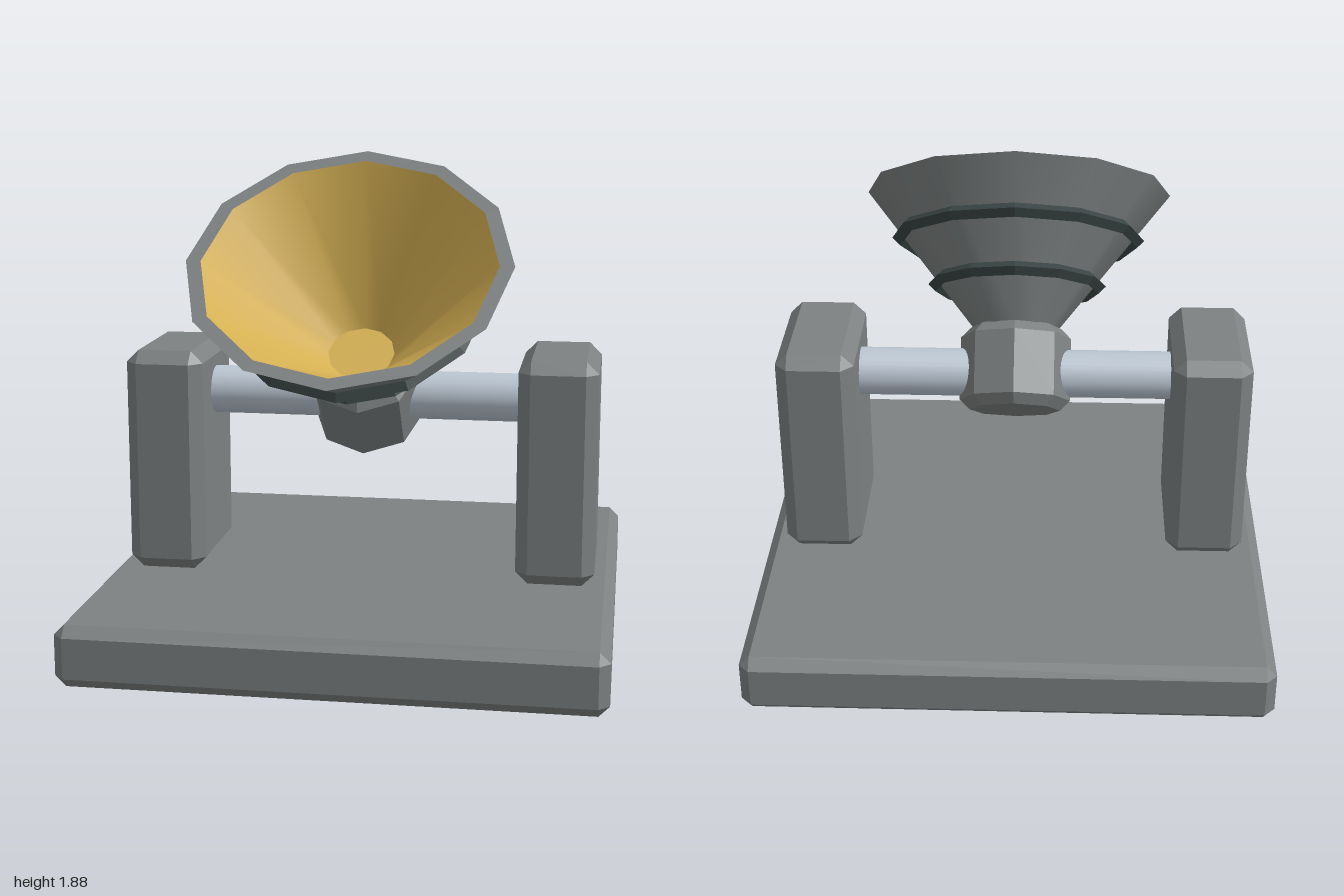
import * as THREE from 'three';
import { ConvexGeometry } from 'three/addons/geometries/ConvexGeometry.js';

const PIVOT_Y = 0.925;
const TILT = THREE.MathUtils.degToRad(38.4);

// Box with every edge cut by a flat chamfer
function chamferBox(w, h, d, c) {
  const points = [];
  for (const sx of [-1, 1]) for (const sy of [-1, 1]) for (const sz of [-1, 1]) {
    const x = w / 2, y = h / 2, z = d / 2;
    points.push(
      new THREE.Vector3(sx * x, sy * (y - c), sz * (z - c)),
      new THREE.Vector3(sx * (x - c), sy * y, sz * (z - c)),
      new THREE.Vector3(sx * (x - c), sy * (y - c), sz * z));
  }
  return new ConvexGeometry(points);
}

function lathe(profile, sides) {
  return new THREE.LatheGeometry(profile.map(([r, y]) => new THREE.Vector2(r, y)), sides);
}

export function createModel() {
  const material = (name, color) => {
    const m = new THREE.MeshStandardMaterial({ color });
    m.name = name;
    return m;
  };
  const grey = material('grey metal', 0x7d8181);
  const dark = material('dark ring', 0x3a4444);
  const gold = material('gold lining', 0xd4af52);
  const steel = material('pale steel', 0xbcc7d3);

  const model = new THREE.Group();
  model.name = 'tiltingDish';
  const add = (parent, name, geometry, mat) => {
    const mesh = new THREE.Mesh(geometry, mat);
    mesh.name = name;
    parent.add(mesh);
    return mesh;
  };

  // Base slab and the two supports
  add(model, 'base', chamferBox(2, 0.235, 2, 0.04), grey).position.y = 0.1175;
  for (const [name, side] of [['leftSupport', 1], ['rightSupport', -1]]) {
    add(model, name, chamferBox(0.305, 0.88, 0.54, 0.048), grey)
      .position.set(side * 0.7675, 0.675, 0);
  }

  // Axle through both supports
  const axle = add(model, 'axle', new THREE.CylinderGeometry(0.095, 0.095, 1.838, 32), steel);
  axle.rotation.z = Math.PI / 2;
  axle.position.y = PIVOT_Y;

  // Everything that tilts with the axle
  const dish = new THREE.Group();
  dish.name = 'dish';
  dish.position.y = PIVOT_Y;
  dish.rotation.x = TILT;
  model.add(dish);

  // Eight-sided hub with chamfered ends
  const hub = lathe([[0, -0.15], [0.18, -0.15], [0.22, -0.11], [0.22, 0.14], [0.18, 0.18], [0, 0.18]], 8)
    .toNonIndexed();
  hub.computeVertexNormals();
  add(dish, 'hub', hub, grey);

  // Cone shell, flat rim, gold lining and its floor
  add(dish, 'coneShell', lathe([[0.164, 0.17], [0.612, 0.734]], 12), grey);
  add(dish, 'rim', lathe([[0.612, 0.734], [0.556, 0.734]], 12), grey);
  add(dish, 'lining', lathe([[0.556, 0.734], [0.13, 0.24]], 12), gold);
  add(dish, 'liningFloor', lathe([[0.13, 0.24], [0, 0.24]], 12), gold);

  // Two sharp-edged rings around the cone
  for (const [name, radius, height] of [['lowerRing', 0.328, 0.356], ['upperRing', 0.48, 0.546]]) {
    const ring = new THREE.TorusGeometry(radius, 0.029, 4, 12).toNonIndexed();
    ring.computeVertexNormals();
    ring.rotateX(Math.PI / 2);
    add(dish, name, ring, dark).position.y = height;
  }

  return model;
}
